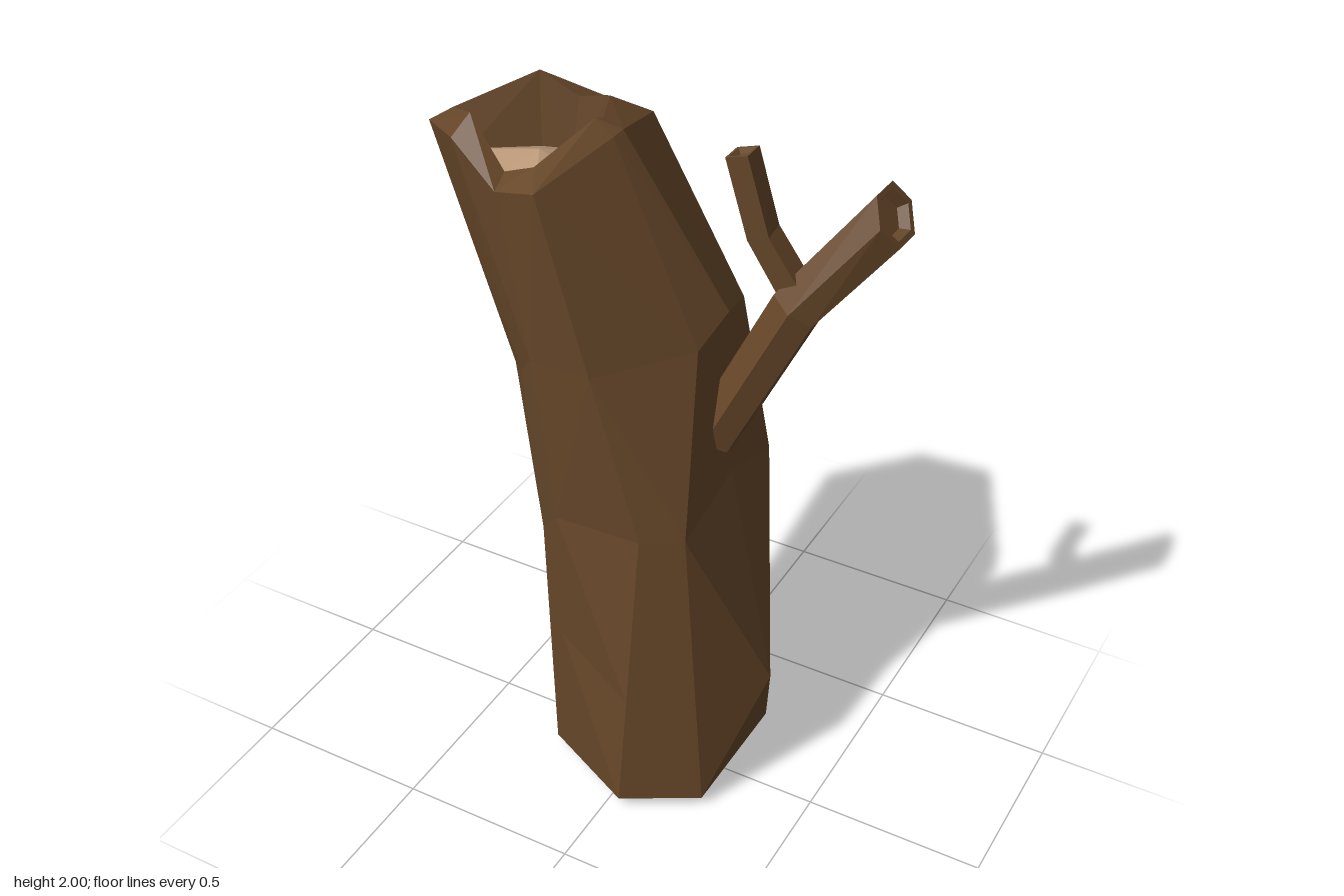
import * as THREE from 'three';

const bark = new THREE.MeshStandardMaterial({ name: 'bark brown', color: 0x68482a, flatShading: true });
const wood = new THREE.MeshStandardMaterial({ name: 'pale heartwood', color: 0xb99878, flatShading: true });

const V = (x, y, z) => new THREE.Vector3(x, y, z);

function facetMesh(name, points, material) {
  const geometry = new THREE.BufferGeometry().setFromPoints(points);
  geometry.computeVertexNormals();
  const mesh = new THREE.Mesh(geometry, material);
  mesh.name = name;
  return mesh;
}

// Triangles between successive closed rings, each quad split along its outward fold
function loft(rings) {
  const out = [];
  for (let r = 0; r < rings.length - 1; r++) {
    const lo = rings[r], hi = rings[r + 1];
    lo.forEach((a, i) => {
      const j = (i + 1) % lo.length;
      const b = hi[i], c = lo[j], d = hi[j];
      const normal = b.clone().sub(a).cross(c.clone().sub(a));
      if (normal.dot(d.clone().sub(a)) <= 0) out.push(a, b, c, c, b, d);
      else out.push(a, b, d, a, d, c);
    });
  }
  return out;
}

// Fan that closes a ring, facing up or down
function fan(ring, center, up) {
  return ring.flatMap((p, i) => {
    const q = ring[(i + 1) % ring.length];
    return up ? [p, center, q] : [q, center, p];
  });
}

const inset = (ring, cx, cz, s, y) => ring.map(p => V(cx + (p.x - cx) * s, y, cz + (p.z - cz) * s));

// Branch with a hollowed end: path of points, a radius at each, and the way the cut faces
function limb(name, path, radii, sides, cut) {
  const ringAt = (c, t, r) => {
    const u = t.clone().cross(V(0, 0, 1)).normalize();
    const v = u.clone().cross(t).normalize();
    return Array.from({ length: sides }, (_, k) => {
      const a = (k + 0.5) / sides * Math.PI * 2;
      return c.clone().addScaledVector(u, r * Math.cos(a)).addScaledVector(v, r * Math.sin(a));
    });
  };
  const last = path.length - 1;
  const rings = path.map((p, i) => {
    const t = i === last ? cut : path[i + 1].clone().sub(path[Math.max(i - 1, 0)]).normalize();
    return ringAt(p, t, radii[i]);
  });
  const pit = path[last].clone().addScaledVector(cut, -radii[last] * 0.3);
  rings.push(ringAt(path[last], cut, radii[last] * 0.78), ringAt(pit, cut, radii[last] * 0.6));
  const points = [
    ...loft(rings),
    ...fan(rings[rings.length - 1], pit, true),
    ...fan(rings[0], path[0], false),
  ];
  return facetMesh(name, points, bark);
}

// Six-cornered foot; a ridge without a corner of its own starts halfway along a side
const rightFront = V(.24, .03, .16), front = V(.04, .03, .275), leftFront = V(-.24, .03, .14);
const leftBack = V(-.295, .03, -.11), back = V(.04, .03, -.34), rightBack = V(.245, .03, -.23);
const between = (a, b) => a.clone().lerp(b, 0.5);

// Ridges around the trunk; knot and shoulder are set only where the ridge bends.
// rise is how far the broken lip stands above the rim.
const ridges = [
  { foot: rightFront, waist: V(.2, .95, .2), shoulder: V(.18, 1.46, .11), rim: V(-.063, 1.952, .08), rise: .035 },
  { foot: front, waist: V(.1, .95, .26), rim: V(-.12, 1.91, .34), rise: .03 },
  { foot: between(front, leftFront), knot: V(-.18, .48, .19), waist: V(-.17, .9, .215),
    shoulder: V(-.2, 1.4, .26), rim: V(-.25, 1.865, .3), rise: .025 },
  { foot: leftFront, waist: V(-.27, .77, .125), shoulder: V(-.28, 1.3, .18), rim: V(-.39, 1.95, .26), rise: .05 },
  { foot: leftBack, waist: V(-.31, .95, -.1), shoulder: V(-.39, 1.21, .04), rim: V(-.595, 1.86, .06), rise: .05 },
  { foot: between(leftBack, back), knot: V(-.15, .5, -.28), waist: V(-.16, 1, -.29),
    shoulder: V(-.14, 1.49, -.28), rim: V(-.385, 1.95, -.13), rise: .05 },
  { foot: back, waist: V(.1, .95, -.325), shoulder: V(-.08, 1.46, -.285), rim: V(-.24, 1.91, -.175), rise: .03 },
  { foot: rightBack, waist: V(.2, .95, -.27), shoulder: V(.16, 1.46, -.17), rim: V(-.12, 1.88, -.21), rise: .07 },
  { foot: between(rightBack, rightFront), knot: V(.345, .38, -.03), waist: V(.21, 1.03, -.03),
    shoulder: V(.19, 1.5, -.03), rim: V(-.06, 1.955, .04), rise: .02 },
];

export function createModel() {
  const model = new THREE.Group();
  model.name = 'hollowTreeStump';

  const foot = ridges.map(r => r.foot);
  const knots = ridges.map(r => r.knot ?? r.foot.clone().lerp(r.waist, 0.4));
  const waist = ridges.map(r => r.waist);
  const shoulders = ridges.map(r => r.shoulder ?? between(r.waist, r.rim));
  const rim = ridges.map(r => r.rim);

  // The lip is broader at the back
  const lip = ridges.map(({ rim: p, rise }) => {
    const s = p.z < -.1 ? .62 : .77;
    return V(-.28 + (p.x + .28) * s, p.y + rise, .06 + (p.z - .06) * s);
  });

  // Trunk shell, with a short hollow turned in at both ends
  const footLip = inset(foot, -.025, -.03, .8, 0);
  const footPit = inset(foot, -.025, -.03, .7, .08);
  const topPit = inset(lip, -.28, .06, .83, 1.81);
  model.add(facetMesh('trunk', loft([footPit, footLip, foot, knots, waist, shoulders, rim, lip, topPit]), bark));

  // Domed heartwood inside each hollow
  model.add(facetMesh('hollowFloor', fan(topPit, V(-.28, 1.86, .06), true), wood));
  model.add(facetMesh('footCut', fan(footPit, V(-.025, .03, -.03), false), wood));

  // Side branch and the twig that forks from it
  model.add(limb('branch', [V(.17, 1.15, -.005), V(.37, 1.57, -.03), V(.555, 1.81, -.14)],
    [.066, .068, .08], 6, V(.88, .47, .06).normalize()));
  model.add(limb('twig', [V(.37, 1.59, -.04), V(.28, 1.75, -.015), V(.23, 1.955, .005)],
    [.045, .042, .042], 4, V(-.3, .95, 0).normalize()));

  return model;
}
